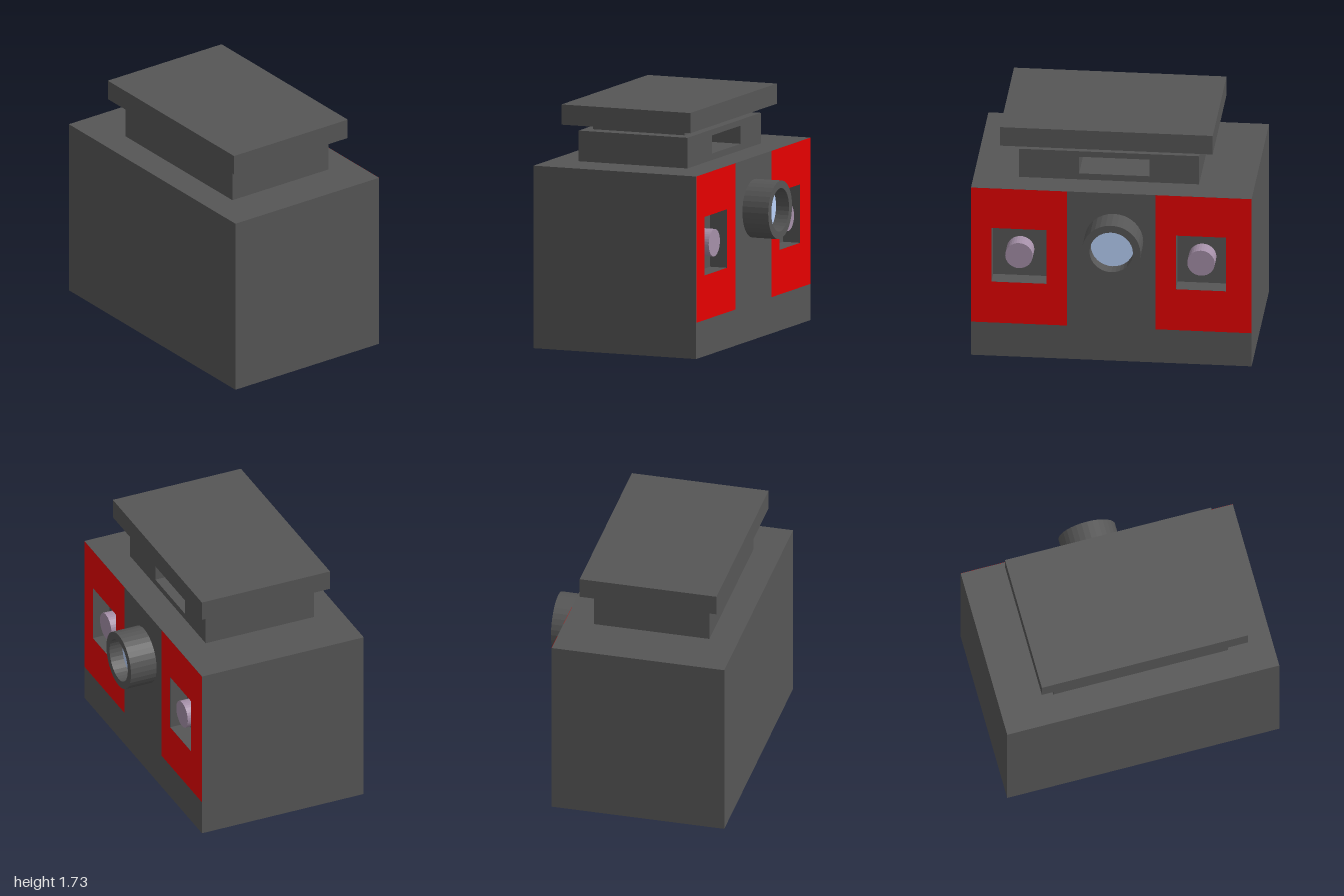
import * as THREE from 'three';

const material = (color) => new THREE.MeshStandardMaterial({ color, flatShading: true });
const darkGrey = material(0x565656);
const red = material(0xe60000);
red.side = THREE.DoubleSide;
const glass = material(0xbad2fa);
const mauve = material(0xa590a8);

const BACK = -0.532;

function add(group, name, geometry, mat) {
  const mesh = new THREE.Mesh(geometry, mat);
  mesh.name = name;
  group.add(mesh);
  return mesh;
}

// Rectangle [x0, x1, y0, y1] as closed corner points
const corners = ([x0, x1, y0, y1]) =>
  [[x0, y0], [x1, y0], [x1, y1], [x0, y1]].map((p) => new THREE.Vector2(...p));

// Rectangle shape with rectangular openings
function plate(rect, openings = []) {
  const shape = new THREE.Shape(corners(rect));
  for (const o of openings) shape.holes.push(new THREE.Path(corners(o)));
  return shape;
}

// Block over a rectangle from z0 to z1, with openings through it
const slab = (rect, z0, z1, openings) =>
  new THREE.ExtrudeGeometry(plate(rect, openings), { depth: z1 - z0, bevelEnabled: false }).translate(0, 0, z0);

export function createModel() {
  const group = new THREE.Group();

  // Main body with two square recesses in the back wall
  const windows = [[-0.817, -0.46, 0.58, 1.0], [0.463, 0.855, 0.58, 1.0]];
  const recess = BACK + 0.13;
  add(group, 'body', slab([-1, 1, 0, 1.31], recess, 0.73), darkGrey);
  add(group, 'backWall', slab([-1, 1, 0, 1.31], BACK, recess, windows), darkGrey);

  // Red facings around the recesses, each with a round lamp inside
  const panels = [[-1, -0.314, 0.26, 1.31], [0.314, 1, 0.26, 1.31]];
  ['right', 'left'].forEach((side, i) => {
    const facing = new THREE.ShapeGeometry(plate(panels[i], [windows[i]]));
    add(group, side + 'Panel', facing, red).position.z = BACK - 0.001;
    const lamp = new THREE.CylinderGeometry(0.098, 0.098, 0.12, 32).rotateX(-Math.PI / 2);
    add(group, side + 'Lamp', lamp, mauve)
      .position.set((windows[i][0] + windows[i][1]) / 2, 0.787, recess - 0.06);
  });

  // Lens barrel with a recessed glass disc, pointing backwards
  const lens = new THREE.Group();
  lens.name = 'lens';
  lens.position.set(-0.019, 0.941, BACK);
  lens.rotation.x = -Math.PI / 2;
  const profile = [[0.209, 0], [0.209, 0.2], [0.155, 0.2], [0.155, 0]].map((p) => new THREE.Vector2(...p));
  add(lens, 'lensBarrel', new THREE.LatheGeometry(profile, 32), darkGrey);
  add(lens, 'lensGlass', new THREE.CylinderGeometry(0.155, 0.155, 0.1, 32), glass).position.y = 0.05;
  group.add(lens);

  // Raised neck with a slot at the back
  const neck = [-0.605, 0.68, 1.31, 1.53];
  add(group, 'neckBack', slab(neck, -0.322, 0.08, [[-0.25, 0.25, 1.357, 1.487]]), darkGrey);
  add(group, 'neckFront', slab(neck, 0.08, 0.522), darkGrey);

  // Narrow collar and overhanging top plate
  add(group, 'collar', slab([-0.503, 0.58, 1.53, 1.585], -0.255, 0.455), darkGrey);
  add(group, 'topPlate', slab([-0.71, 0.805, 1.585, 1.73], -0.4, 0.6), darkGrey);

  return group;
}
